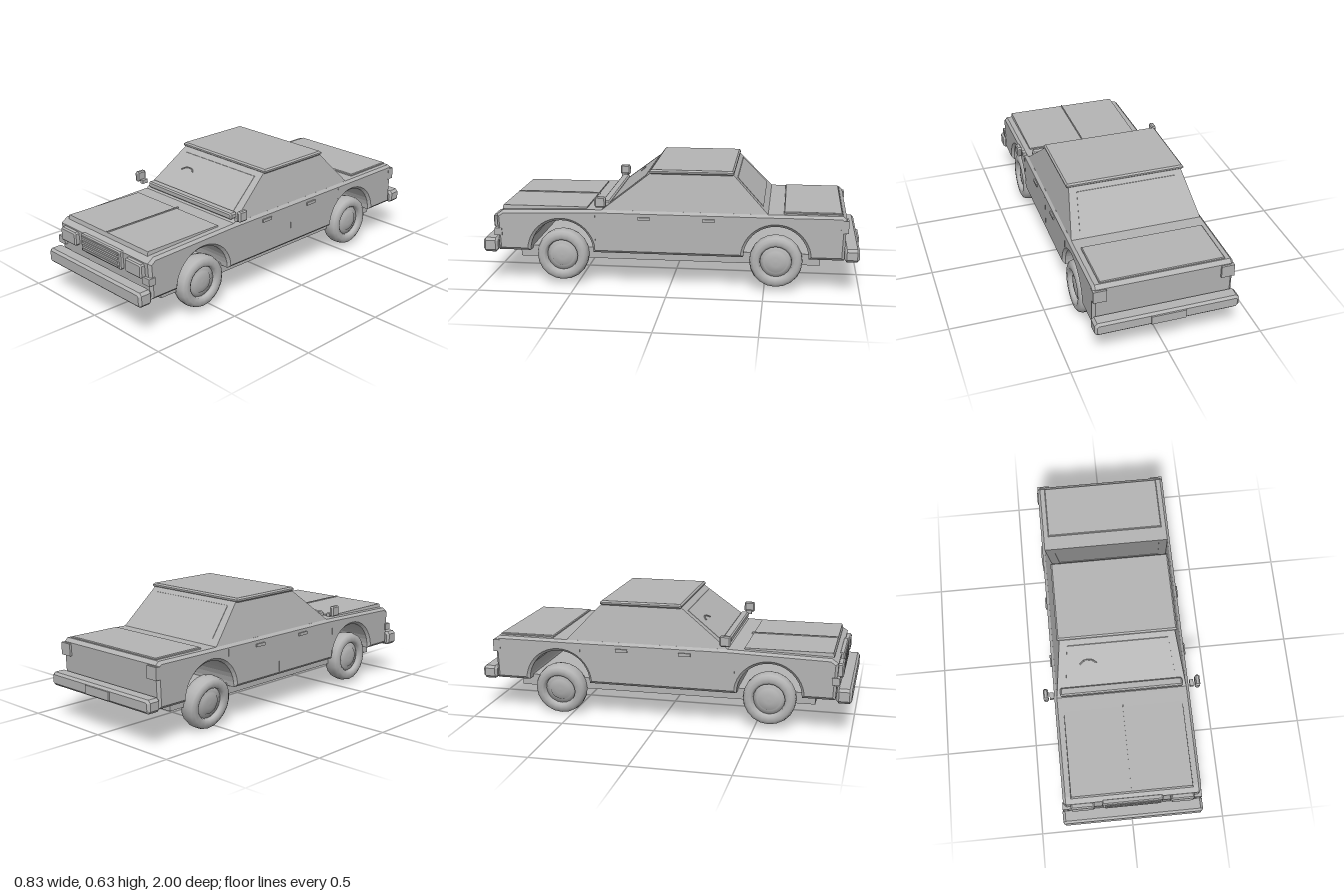
import * as THREE from 'three';

const paint = new THREE.MeshStandardMaterial({ color: 0xb4b4b4 });
paint.name = 'plain grey';

export function createModel() {
  const car = new THREE.Group();
  car.name = 'sedan';

  const add = (name, geometry, x = 0, y = 0, z = 0, parent = car) => {
    const mesh = new THREE.Mesh(geometry, paint);
    mesh.name = name;
    mesh.position.set(x, y, z);
    parent.add(mesh);
    return mesh;
  };

  // Box given by its minimum and maximum on each axis
  const box = (name, x0, x1, y0, y1, z0, z1) =>
    add(name, new THREE.BoxGeometry(x1 - x0, y1 - y0, z1 - z0), (x0 + x1) / 2, (y0 + y1) / 2, (z0 + z1) / 2);

  // Extrusion along z with chamfered ends, keeping the overall size
  const chamfered = (shape, depth, b) => {
    const g = new THREE.ExtrudeGeometry(shape, {
      depth: depth - 2 * b, bevelEnabled: true, bevelThickness: b, bevelSize: b,
      bevelOffset: -b, bevelSegments: 1, curveSegments: 10,
    });
    return g.translate(0, 0, b - depth / 2);
  };
  const rect = (w, h, c = 0) => {
    const s = new THREE.Shape();
    const x = w / 2, y = h / 2;
    if (!c) return s.moveTo(-x, -y).lineTo(x, -y).lineTo(x, y).lineTo(-x, y);
    return s.moveTo(-x + c, -y).lineTo(x - c, -y).lineTo(x, -y + c).lineTo(x, y - c)
      .lineTo(x - c, y).lineTo(-x + c, y).lineTo(-x, y - c).lineTo(-x, -y + c);
  };

  // Tapered block: separate width and z range at the bottom and the top
  const taper = (name, bottom, top) => {
    const g = new THREE.BoxGeometry(2, 2, 2);
    const p = g.attributes.position;
    for (let i = 0; i < p.count; i++) {
      const e = p.getY(i) > 0 ? top : bottom;
      p.setXYZ(i, p.getX(i) * e.x, e.y, p.getZ(i) > 0 ? e.front : e.back);
    }
    g.computeVertexNormals();
    return add(name, g);
  };

  // Lower body: side profile with both wheel arches cut right through
  const profile = new THREE.Shape();
  profile.moveTo(0.915, 0.192).lineTo(0.745, 0.192);
  profile.absarc(0.575, 0.192, 0.17, 0, Math.PI, false);
  profile.lineTo(-0.39, 0.192);
  profile.absarc(-0.56, 0.192, 0.17, 0, Math.PI, false);
  profile.lineTo(-0.912, 0.192).lineTo(-0.92, 0.41).lineTo(-0.9, 0.427)
    .lineTo(-0.52, 0.425).lineTo(0.37, 0.425).lineTo(0.89, 0.41).lineTo(0.925, 0.385);
  add('body', chamfered(profile, 0.724, 0.014).rotateY(-Math.PI / 2));
  box('underbody', -0.3, 0.3, 0.145, 0.205, -0.79, 0.81);

  // Cabin, roof and glass
  taper('cabin', { x: 0.35, y: 0.415, front: 0.37, back: -0.525 }, { x: 0.305, y: 0.622, front: 0.1, back: -0.33 });
  add('roof', chamfered(rect(0.636, 0.44), 0.024, 0.008).rotateX(-Math.PI / 2), 0, 0.628, -0.115);
  const frontZ = y => 0.37 - (y - 0.415) * 1.304;
  const backZ = y => -0.525 + (y - 0.415) * 0.942;
  const pane = (name, zAt, lift) => {
    const edge = (x, y) => ({ x, y, front: zAt(y) + Math.max(lift, 0), back: zAt(y) + Math.min(lift, 0) });
    taper(name, edge(0.295, 0.455), edge(0.268, 0.6));
  };
  pane('windshield', frontZ, 0.003);
  pane('rearWindow', backZ, -0.003);
  add('cowl', chamfered(rect(0.655, 0.034, 0.008), 0.045, 0.007), 0, 0.453, 0.337);

  // Small curved wiper on the windshield
  const arc = [[-0.21, 0.538], [-0.185, 0.55], [-0.145, 0.55], [-0.12, 0.538]]
    .map(([x, y]) => new THREE.Vector3(x, y, frontZ(y) + 0.008));
  add('wiper', new THREE.TubeGeometry(new THREE.CatmullRomCurve3(arc), 8, 0.004, 5));

  // Hood and trunk panels
  taper('hood', { x: 0.32, y: 0.408, front: 0.9, back: 0.44 }, { x: 0.317, y: 0.43, front: 0.895, back: 0.44 });
  box('hoodRidge', -0.003, 0.003, 0.425, 0.436, 0.43, 0.895);
  add('trunkLid', chamfered(rect(0.645, 0.3), 0.016, 0.004).rotateX(-Math.PI / 2), 0, 0.428, -0.747);

  // Grille with slats
  add('grille', chamfered(rect(0.32, 0.097, 0.006), 0.03, 0.006), 0, 0.342, 0.929);
  for (let i = 0; i < 4; i++) {
    const y = 0.31 + i * 0.021;
    box('grilleSlat', -0.145, 0.145, y - 0.005, y + 0.005, 0.942, 0.948);
  }

  // Bumpers and number plate panel
  add('frontBumper', chamfered(rect(0.746, 0.078, 0.014), 0.078, 0.012), 0, 0.219, 0.96);
  add('rearBumper', chamfered(rect(0.746, 0.07, 0.014), 0.078, 0.012), 0, 0.222, -0.952);
  box('platePanel', -0.09, 0.09, 0.2, 0.245, -1, -0.988);

  for (const s of [-1, 1]) {
    const side = (name, x0, x1, ...rest) => box(name, Math.min(s * x0, s * x1), Math.max(s * x0, s * x1), ...rest);
    // Lights
    add('headlight', chamfered(rect(0.124, 0.073, 0.008), 0.04, 0.007), s * 0.263, 0.341, 0.93);
    side('indicator', 0.315, 0.369, 0.275, 0.313, 0.895, 0.935);
    side('tailLight', 0.295, 0.363, 0.34, 0.405, -0.93, -0.89);
    // Mirrors
    add('mirror', chamfered(rect(0.026, 0.056, 0.006), 0.06, 0.008), s * 0.403, 0.482, 0.353);
    side('mirrorBracket', 0.364, 0.384, 0.447, 0.468, 0.335, 0.37);
    // Door handles and seams
    for (const z of [0.132, -0.208]) side('doorHandle', 0.36, 0.37, 0.378, 0.394, z - 0.032, z + 0.032);
    for (const z of [0.393, -0.055]) side('doorSeam', 0.36, 0.363, 0.21, 0.405, z - 0.002, z + 0.002);
    side('rearDoorSeam', 0.36, 0.363, 0.34, 0.405, -0.442, -0.438);
  }

  // Wheels: lathed tyre and dished rim, axis along x
  const lathe = pts => new THREE.LatheGeometry(pts.map(p => new THREE.Vector2(...p)), 20).rotateZ(-Math.PI / 2);
  const tyre = lathe([[0.085, -0.038], [0.097, -0.047], [0.118, -0.046], [0.133, -0.036], [0.139, -0.015],
    [0.139, 0.015], [0.133, 0.036], [0.118, 0.046], [0.097, 0.047], [0.085, 0.038], [0.082, 0.02]]);
  const rim = lathe([[0, -0.03], [0.086, -0.03], [0.086, 0.022], [0.064, 0.018], [0.056, 0.03], [0.025, 0.034], [0, 0.035]]);
  const wheel = (name, s, y, z) => {
    const g = new THREE.Group();
    g.name = name;
    g.position.set(s * 0.313, y, z);
    if (s < 0) g.rotation.y = Math.PI;
    add('tyre', tyre, 0, 0, 0, g);
    add('rim', rim, 0, 0, 0, g);
    car.add(g);
    return g;
  };
  wheel('frontLeftWheel', 1, 0.169, 0.575);
  wheel('frontRightWheel', -1, 0.169, 0.575);
  wheel('rearLeftWheel', 1, 0.169, -0.56);
  // This wheel leans: top outward, bottom inward
  wheel('rearRightWheel', -1, 0.146, -0.56).rotation.set(0, Math.PI, -0.14);

  return car;
}
